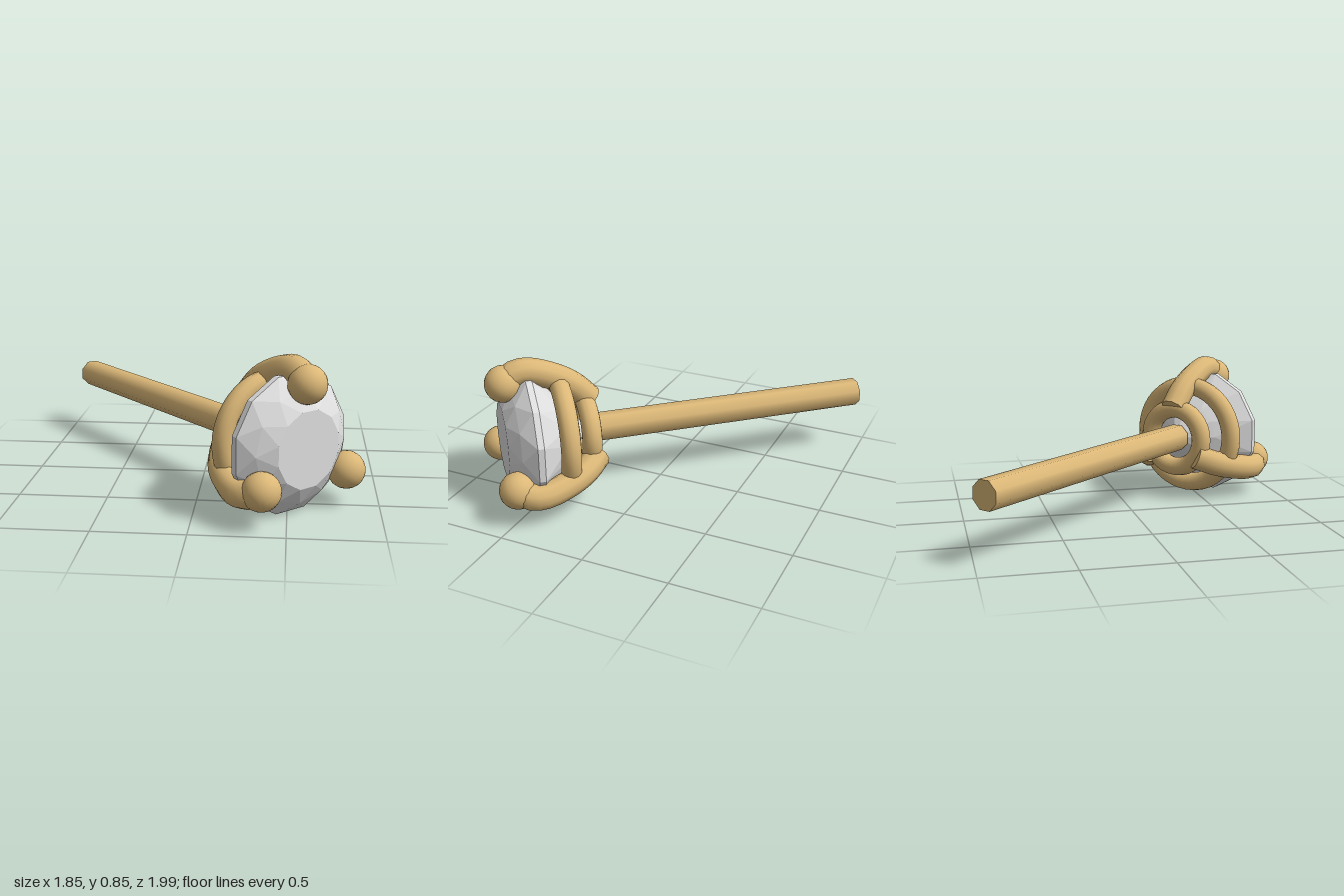
import * as THREE from 'three';
import { ConvexGeometry } from 'three/addons/geometries/ConvexGeometry.js';

export function createModel() {
  const gold = new THREE.MeshStandardMaterial({ color: 0xdcb878 });
  gold.name = 'gold';
  const crystal = new THREE.MeshStandardMaterial({ color: 0xe0e0e0 });
  crystal.name = 'crystal';

  // Stud built along local z, origin at the gem's girdle centre
  const stud = new THREE.Group();
  stud.name = 'studEarring';
  const add = (parent, name, geometry, material) => {
    const mesh = new THREE.Mesh(geometry, material);
    mesh.name = name;
    parent.add(mesh);
    return mesh;
  };

  // Faceted gem: twelve-sided rings as [radius, z, angular offset in steps]
  const step = Math.PI / 6;
  const rings = [
    [0.215, 0.155, 0.5],  // table
    [0.31, 0.095, 0],     // crown facets
    [0.388, 0.018, 0.5],  // girdle front
    [0.388, -0.018, 0.5], // girdle back
    [0.2, -0.185, 0],     // pavilion facets
  ];
  const points = [new THREE.Vector3(0, 0, -0.34)];
  for (const [r, z, offset] of rings) {
    for (let i = 0; i < 12; i++) {
      const a = (i + offset) * step;
      points.push(new THREE.Vector3(r * Math.cos(a), r * Math.sin(a), z));
    }
  }
  add(stud, 'gem', new ConvexGeometry(points), crystal);

  // Octagonal post behind the gem
  const front = -0.31, back = -2.065;
  const postGeometry = new THREE.CylinderGeometry(0.084, 0.084, front - back, 8);
  postGeometry.rotateY(Math.PI / 8).rotateX(Math.PI / 2);
  add(stud, 'post', postGeometry, gold).position.z = (front + back) / 2;

  // Two basket rings
  add(stud, 'largeRing', new THREE.TorusGeometry(0.312, 0.058, 12, 40), gold).position.z = -0.177;
  add(stud, 'smallRing', new THREE.TorusGeometry(0.185, 0.058, 12, 32), gold).position.z = -0.326;

  // Three curved prongs with ball tips
  const path = new THREE.CatmullRomCurve3(
    [[0.19, -0.36], [0.29, -0.26], [0.36, -0.14], [0.405, 0], [0.395, 0.07], [0.345, 0.13]]
      .map(([r, z]) => new THREE.Vector3(0, r, z)));
  const prongGeometry = new THREE.TubeGeometry(path, 14, 0.077, 10);
  const capGeometry = new THREE.CircleGeometry(0.077, 10);
  const ballGeometry = new THREE.SphereGeometry(0.105, 20, 14);
  const outward = path.getTangent(0).negate();
  ['top', 'right', 'left'].forEach((side, i) => {
    const prong = new THREE.Group();
    prong.name = side + 'Prong';
    add(prong, 'prongArm', prongGeometry, gold);
    const cap = add(prong, 'prongEnd', capGeometry, gold);
    cap.position.copy(path.getPoint(0));
    cap.quaternion.setFromUnitVectors(new THREE.Vector3(0, 0, 1), outward);
    add(prong, 'prongBall', ballGeometry, gold).position.set(0, 0.345, 0.13);
    prong.rotation.z = i * Math.PI * 2 / 3;
    stud.add(prong);
  });

  // Turn the stud to its resting direction
  stud.rotation.y = 0.73;
  stud.position.set(0.505, 0.375, 0.595);

  const model = new THREE.Group();
  model.name = 'earring';
  model.add(stud);
  return model;
}
